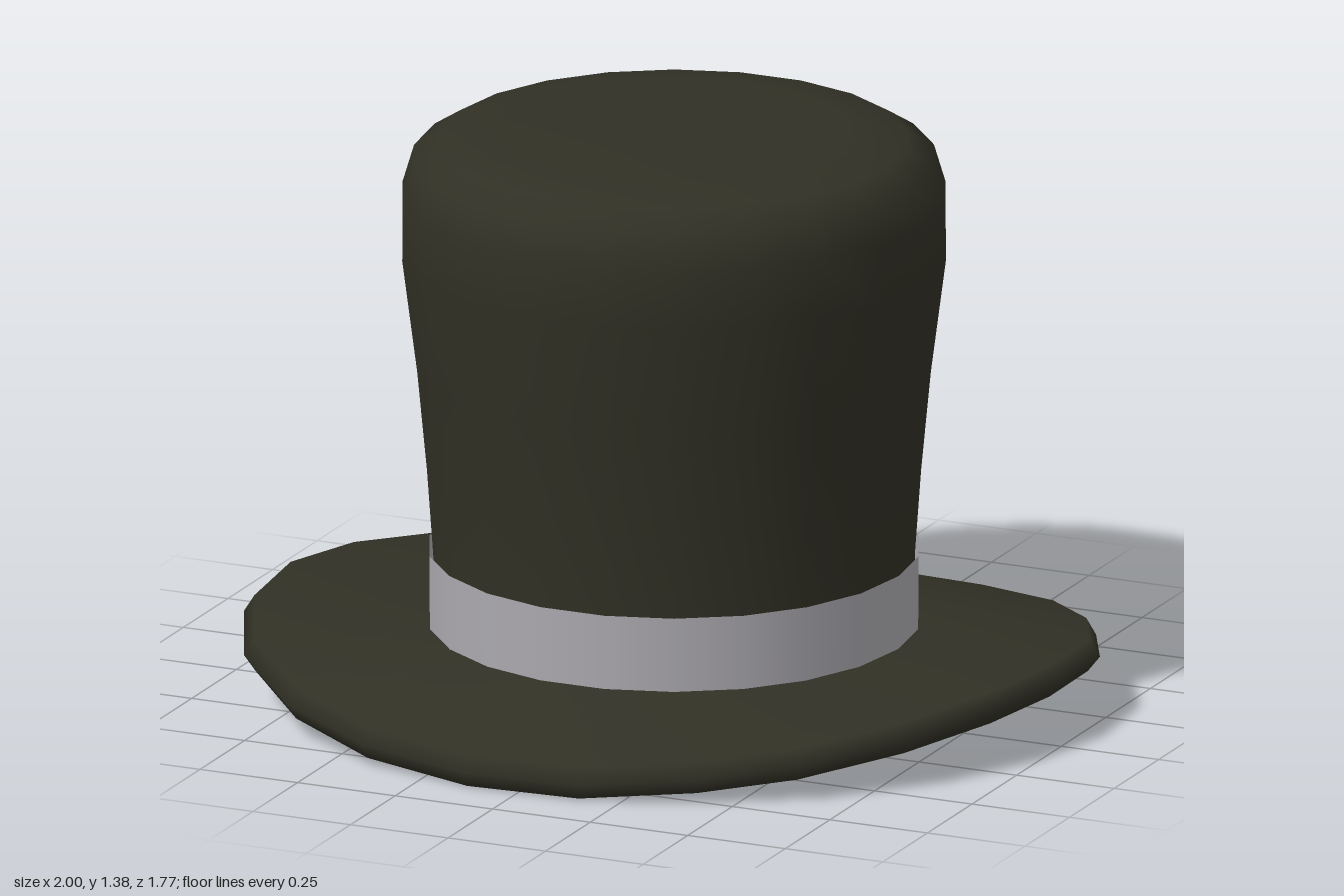
import * as THREE from 'three';

const SIDES = 22;
const CX = 0.01, CZ = 0.005;   // centre of the crown

const felt = new THREE.MeshStandardMaterial({ color: 0x313025, side: THREE.DoubleSide });
felt.name = 'darkFelt';
const ribbon = new THREE.MeshStandardMaterial({ color: 0xaba9af, side: THREE.DoubleSide });
ribbon.name = 'greyRibbon';

// Hand-cut outline of the brim as x, z pairs, from the left side round by the front
const OUTLINE = [
  [1, 0], [0.95, 0.23], [0.83, 0.46], [0.64, 0.66], [0.43, 0.78], [0.16, 0.87],
  [-0.13, 0.88], [-0.42, 0.82], [-0.67, 0.69], [-0.87, 0.49], [-0.98, 0.25], [-1, 0],
  [-0.94, -0.23], [-0.82, -0.46], [-0.65, -0.65], [-0.41, -0.79], [-0.13, -0.87],
  [0.16, -0.89], [0.44, -0.82], [0.69, -0.68], [0.87, -0.48], [0.985, -0.25],
];

function turned(name, profile, material) {
  const points = profile.map(([r, y]) => new THREE.Vector2(r, y));
  const mesh = new THREE.Mesh(new THREE.LatheGeometry(points, SIDES, Math.PI / 2), material);
  mesh.name = name;
  mesh.position.set(CX, 0, CZ);
  return mesh;
}

// Brim: one cross-section per side, drooping towards the front and back
function makeBrim() {
  const positions = [], index = [], RINGS = 5;
  OUTLINE.forEach(([x, z], i) => {
    const a = (i / SIDES) * Math.PI * 2;
    const ix = CX + 0.567 * Math.cos(a), iz = CZ + 0.567 * Math.sin(a);
    const droop = (z / 0.88) ** 2;
    const innerLow = i === 3 ? 0.005 : Math.abs(iz) < 0.35 ? 0.07 : 0.04;
    positions.push(
      ix, innerLow, iz,                             // inner lower edge
      x * 0.97, 0.122 - 0.115 * droop, z * 0.985,   // outer lower edge
      x, 0.16 - 0.118 * droop, z,                   // rim
      x * 0.975, 0.2 - 0.118 * droop, z * 0.985,    // outer upper edge
      ix, 0.19, iz,                                 // inner upper edge
    );
    const p = i * RINGS, q = ((i + 1) % SIDES) * RINGS;
    for (let k = 0; k < RINGS - 1; k++) {
      index.push(p + k, p + k + 1, q + k, q + k, p + k + 1, q + k + 1);
    }
  });
  const geometry = new THREE.BufferGeometry();
  geometry.setAttribute('position', new THREE.Float32BufferAttribute(positions, 3));
  geometry.setIndex(index);
  geometry.computeVertexNormals();
  const mesh = new THREE.Mesh(geometry, felt);
  mesh.name = 'brim';
  return mesh;
}

// Inner sweatband joining the crown to the lower edge of the brim
function makeInnerWall() {
  const positions = [], index = [];
  for (let i = 0; i < SIDES; i++) {
    const a = (i / SIDES) * Math.PI * 2;
    const x = CX + 0.566 * Math.cos(a), z = CZ + 0.566 * Math.sin(a);
    const low = i === 3 ? 0.005 : Math.abs(z) < 0.35 ? 0.07 : 0.04;
    positions.push(x, low, z, x, 0.2, z);
    const p = i * 2, q = ((i + 1) % SIDES) * 2;
    index.push(p, q, p + 1, q, q + 1, p + 1);
  }
  const geometry = new THREE.BufferGeometry();
  geometry.setAttribute('position', new THREE.Float32BufferAttribute(positions, 3));
  geometry.setIndex(index);
  geometry.computeVertexNormals();
  const mesh = new THREE.Mesh(geometry, felt);
  mesh.name = 'innerWall';
  return mesh;
}

export function createModel() {
  const hat = new THREE.Group();
  hat.name = 'topHat';

  // Flared crown with a rounded shoulder and flat top
  hat.add(turned('crown', [
    [0.566, 0.19], [0.567, 0.37], [0.582, 0.58], [0.605, 0.82], [0.64, 1.09],
    [0.639, 1.23], [0.612, 1.32], [0.548, 1.36], [0.41, 1.385], [0, 1.387],
  ], felt));

  // Ribbon just proud of the crown
  hat.add(turned('hatBand', [
    [0.566, 0.188], [0.575, 0.189], [0.576, 0.368], [0.567, 0.369],
  ].slice(1, 3), ribbon));

  hat.add(makeBrim(), makeInnerWall());
  return hat;
}
